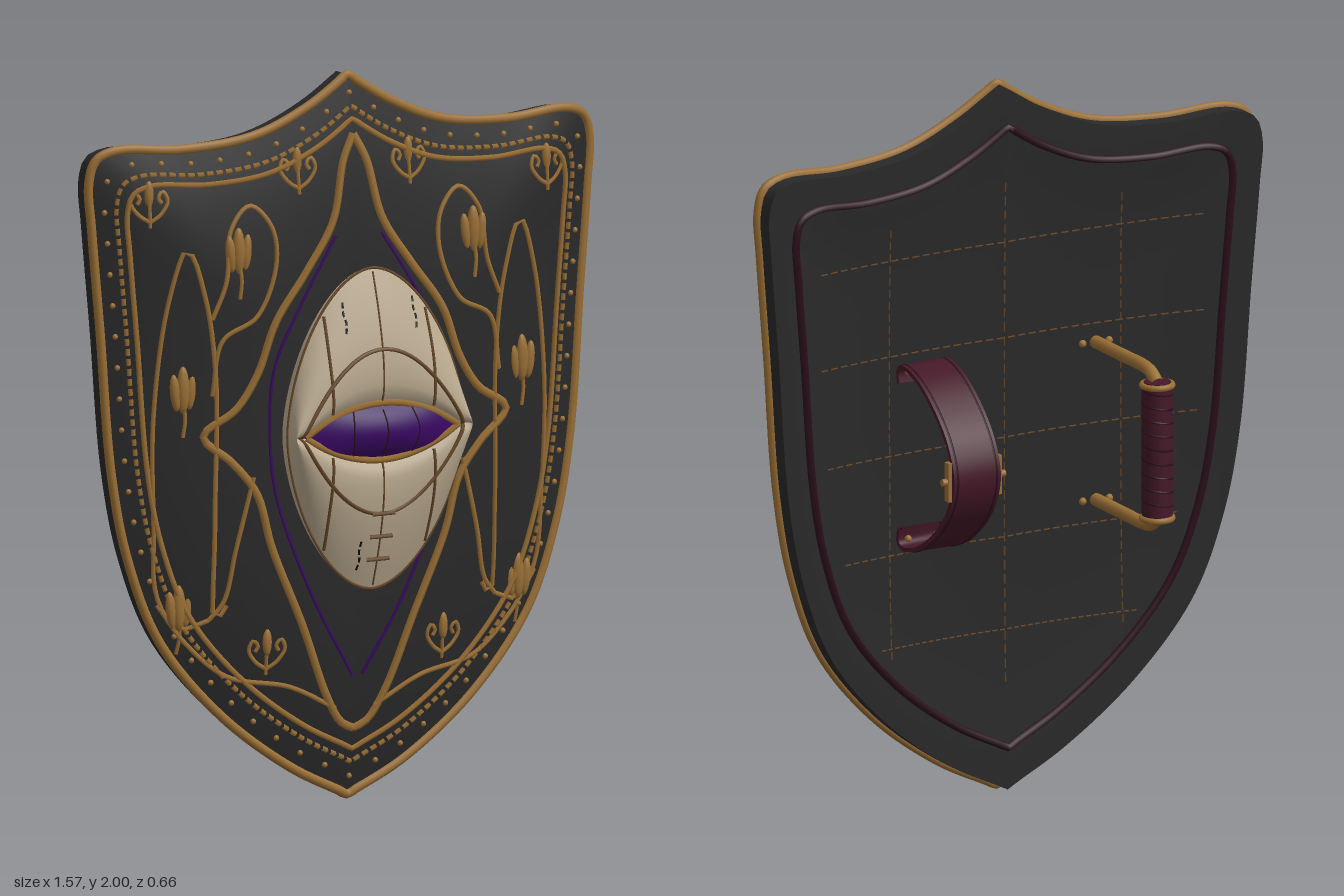
import * as THREE from 'three';
import { mergeGeometries } from 'three/addons/utils/BufferGeometryUtils.js';

const V3 = (x, y, z = 0) => new THREE.Vector3(x, y, z);
const mat = (name, color, side = THREE.FrontSide) => {
  const m = new THREE.MeshStandardMaterial({ color, side });
  m.name = name;
  return m;
};

// Shield outline: right half from top peak to bottom point, then mirrored
const half = new THREE.CatmullRomCurve3([
  [0, 1.987], [0.13, 1.907], [0.29, 1.843], [0.5, 1.822], [0.69, 1.831], [0.748, 1.808], [0.768, 1.745], [0.76, 1.62],
  [0.736, 1.34], [0.703, 0.94], [0.655, 0.7], [0.565, 0.475], [0.39, 0.265], [0.18, 0.105], [0, 0.013],
].map(p => V3(...p)), false, 'centripetal').getSpacedPoints(100);
const outline = [...half, ...half.slice(1, -1).reverse().map(p => V3(-p.x, p.y))];
const CY = 1.05;

// Radial fraction of a point: 0 at the centre, 1 on the outline
function frac(x, y) {
  const ax = Math.abs(x), dy = y - CY;
  for (let i = 0; i < half.length - 1; i++) {
    const a = half[i], b = half[i + 1], ay = a.y - CY, by = b.y - CY;
    const c1 = ax * ay - dy * a.x, c2 = ax * by - dy * b.x;
    if (c1 >= -1e-9 && c2 <= 1e-9 && c1 - c2 > 1e-12) {
      const t = c1 / (c1 - c2);
      return Math.hypot(ax, dy) / Math.hypot(a.x + (b.x - a.x) * t, ay + (by - ay) * t);
    }
  }
  return 0;
}
const rimZ = x => 0.107 - 0.055 * (x / 0.77) ** 2 - 0.01 * Math.exp(-Math.abs(x) / 0.09);
const frontAt = (x, s) => rimZ(x) + 0.066 * (1 - s ** 3.6);
const backAt = (x, s) => rimZ(x) - 0.06 + 0.018 * (1 - Math.min(1, s / 0.88) ** 5);
const frontZ = (x, y) => frontAt(x, frac(x, y));
const backZ = (x, y) => backAt(x, frac(x, y));

// Eye: lids between an almond slit and a pointed oval edge
const EY = 1.04, EW = 0.27, SW = 0.235;
const edgeH = x => 0.44 * Math.max(0, 1 - Math.abs(x / EW) ** 1.8) ** 0.6;
const slitH = x => 0.078 * Math.max(0, 1 - (x / SW) ** 2);
const lidAt = (x, v) => 0.24 + 0.05 * (1 - v * v) + 0.022 * Math.sin(Math.PI * Math.sqrt(v)) + 0.02 * (x / EW) ** 2 * v;
function lidZ(x, y) {
  const s = slitH(x);
  return lidAt(x, THREE.MathUtils.clamp((Math.abs(y - EY) - s) / Math.max(0.001, edgeH(x) - s), 0, 1));
}

// Quad sheet from a function of two whole-number steps
function sheet(nu, nv, fn, flip = false) {
  const pos = [], idx = [], row = nu + 1;
  for (let j = 0; j <= nv; j++) for (let i = 0; i <= nu; i++) pos.push(...fn(i, j));
  for (let j = 0; j < nv; j++) for (let i = 0; i < nu; i++) {
    const a = j * row + i, b = a + 1, c = a + row, d = c + 1;
    idx.push(...(flip ? [a, c, b, b, c, d] : [a, b, c, b, d, c]));
  }
  const g = new THREE.BufferGeometry();
  g.setAttribute('position', new THREE.Float32BufferAttribute(pos, 3));
  g.setIndex(idx);
  g.computeVertexNormals();
  return g;
}
const tube = (pts, r, n, closed = false, sides = 6) =>
  new THREE.TubeGeometry(new THREE.CatmullRomCurve3(pts, closed, 'centripetal'), n, r, sides, closed);

// Tube laid on a surface through 2D points; dashes > 0 breaks it into stitches
function drape(pts, r, zf, { n = 48, dashes = 0, closed = false, lift = 0 } = {}) {
  const p = new THREE.CatmullRomCurve3(pts.map(q => V3(...q)), closed, 'centripetal').getSpacedPoints(dashes ? dashes * 3 : n);
  p.forEach(q => { q.z = zf(q.x, q.y) + lift; });
  if (!dashes) return tube(closed ? p.slice(0, -1) : p, r, n, closed, 5);
  return mergeGeometries(Array.from({ length: dashes }, (_, k) => tube([p[3 * k], p[3 * k + 1], p[3 * k + 2]], r, 2, false, 4)));
}
const both = (pts, r, zf, o) => [drape(pts, r, zf, o), drape(pts.map(([x, y]) => [-x, y]), r, zf, o)];
const ring = s => outline.map(p => [p.x * s, CY + (p.y - CY) * s]);
const ball = (x, y, z, sx, sy, sz, rot = 0) =>
  new THREE.SphereGeometry(1, 10, 8).scale(sx, sy, sz).rotateZ(rot).translate(x, y, z);

export function createModel() {
  const M = {
    dark: mat('charcoal', 0x292929), gold: mat('old gold', 0x9a6f35), bone: mat('bone', 0xbbab90, THREE.DoubleSide),
    seam: mat('brown seam', 0x69492a), violet: mat('violet', 0x3b0764), leather: mat('wine leather', 0x451828, THREE.DoubleSide),
    trim: mat('dark wine trim', 0x2c0f1c), black: mat('black crack', 0x14110f),
  };
  const root = new THREE.Group();
  const add = (name, geos, m) => {
    const mesh = new THREE.Mesh(Array.isArray(geos) ? mergeGeometries(geos) : geos, m);
    mesh.name = name;
    root.add(mesh);
  };

  // Shield shell: domed front, edge wall, slightly hollow back
  const N = outline.length, at = i => outline[i % N];
  const shell = (s, i, zf) => [at(i).x * s, CY + (at(i).y - CY) * s, zf(at(i).x * s, s)];
  add('shieldFront', sheet(N, 16, (i, j) => shell(j / 16, i, frontAt)), M.dark);
  add('shieldEdge', sheet(N, 1, (i, j) => shell(1, i, j ? backAt : frontAt)), M.dark);
  add('shieldBack', sheet(N, 20, (i, j) => shell(1 - j / 20, i, backAt)), M.dark);

  // Metal rim, corded borders and rivets
  add('rim', tube(outline.map(p => V3(p.x, p.y, rimZ(p.x))), 0.0135, 400, true, 8), M.gold);
  add('innerBorders', [
    drape(ring(0.91), 0.007, frontZ, { closed: true, dashes: 190, lift: 0.003 }),
    drape(ring(0.875), 0.008, frontZ, { closed: true, n: 300, lift: 0.003 }),
  ], M.gold);
  const rivets = new THREE.CatmullRomCurve3(ring(0.95).map(q => V3(...q)), true).getSpacedPoints(64);
  add('rivets', rivets.map(p => ball(p.x, p.y, frontZ(p.x, p.y) + 0.002, 0.008, 0.008, 0.007)), M.gold);

  // Cusped frame round the eye, with a violet inlay
  const frame = [[0, 1.83], [0.035, 1.76], [0.075, 1.6], [0.16, 1.47], [0.255, 1.34], [0.31, 1.2], [0.37, 1.11], [0.465, 1.04],
    [0.38, 0.96], [0.31, 0.87], [0.265, 0.72], [0.17, 0.5], [0.09, 0.3], [0.04, 0.22], [0, 0.2]];
  add('eyeFrame', both(frame, 0.012, frontZ, { n: 90 }), M.gold);
  add('violetInlay', both([[0.07, 1.56], [0.17, 1.4], [0.26, 1.22], [0.275, 1.04], [0.255, 0.86], [0.14, 0.57], [0.015, 0.35]],
    0.0045, frontZ, { lift: 0.006 }), M.violet);

  // Lancet tracery on the field
  const lancets = [
    [[0.39, 0.57], [0.42, 0.53], [0.43, 0.8], [0.43, 1.2], [0.46, 1.42], [0.51, 1.555], [0.56, 1.42], [0.6, 1.1], [0.595, 0.8], [0.58, 0.6], [0.52, 0.51], [0.44, 0.53]],
    [[0.44, 1.15], [0.41, 1.3], [0.31, 1.36], [0.25, 1.5], [0.26, 1.6], [0.32, 1.66], [0.38, 1.6], [0.4, 1.46], [0.44, 1.36]],
    [[0.58, 0.58], [0.5, 0.47], [0.38, 0.37], [0.2, 0.33], [0.06, 0.26]],
    [[0.32, 0.92], [0.37, 0.72], [0.4, 0.58], [0.44, 0.53]],
  ];
  add('tracery', lancets.flatMap(l => both(l, 0.007, frontZ, { n: 70, lift: 0.002 })), M.gold);

  // Flower buds and small scrolled sprigs
  const buds = [], sprigs = [];
  for (const sx of [-1, 1]) {
    for (const [x, y] of [[0.36, 1.54], [0.52, 1.17], [0.52, 0.57]]) {
      const X = x * sx, z = frontZ(X, y);
      buds.push(ball(X, y, z, 0.019, 0.066, 0.015));
      for (const k of [-1, 1]) buds.push(ball(X + k * 0.024, y - 0.006, z, 0.015, 0.052, 0.012, -k * 0.1));
      buds.push(drape([[X, y - 0.03], [X + 0.006, y - 0.08], [X, y - 0.13]], 0.006, frontZ, { n: 8 }));
    }
    for (const [x, y] of [[0.61, 1.69], [0.17, 1.75], [0.27, 0.44]]) {
      const X = x * sx;
      sprigs.push(ball(X, y + 0.02, frontZ(X, y + 0.02), 0.014, 0.038, 0.01));
      sprigs.push(drape([[X, y + 0.04], [X, y - 0.07]], 0.006, frontZ, { n: 6 }));
      for (const k of [-1, 1]) sprigs.push(drape([[X, y - 0.055], [X + k * 0.03, y - 0.035], [X + k * 0.052, y], [X + k * 0.04, y + 0.026],
        [X + k * 0.026, y + 0.01], [X + k * 0.034, y - 0.005]], 0.006, frontZ, { n: 18 }));
    }
  }
  add('buds', buds, M.gold);
  add('sprigs', sprigs, M.gold);

  // Bone eyelids: curved faces, side wall and flat back
  const ux = i => EW * Math.sin((i / 40 - 0.5) * Math.PI);
  for (const [name, k] of [['upperLid', 1], ['lowerLid', -1]]) {
    add(name, sheet(40, 14, (i, j) => {
      const x = ux(i), v = j / 14, h = edgeH(x), s = Math.min(slitH(x), h);
      return [x, EY + k * (s + (h - s) * v), lidAt(x, v)];
    }, k < 0), M.bone);
    add(name + 'Side', sheet(40, 1, (i, j) => [ux(i), EY + k * edgeH(ux(i)), j ? 0.23 : lidAt(ux(i), 1)], k < 0), M.bone);
    add(name + 'Edge', tube(Array.from({ length: 41 }, (_, i) => V3(ux(i), EY + k * edgeH(ux(i)), lidAt(ux(i), 1))), 0.004, 80, false, 5), M.seam);
  }
  add('eyeBack', sheet(40, 1, (i, j) => [ux(i), EY + (j ? -1 : 1) * edgeH(ux(i)), 0.23]), M.bone);

  // Eyeball filling the slit, with fine pupil lines
  const eyeZ = (x, y) => 0.285 + 0.042 * Math.max(0, 1 - (x / SW) ** 2) * (1 - ((y - EY) / 0.08) ** 2);
  add('eyeball', sheet(32, 10, (i, j) => {
    const x = SW * (i / 16 - 1), y = EY + slitH(x) * (j / 5 - 1);
    return [x, y, eyeZ(x, y)];
  }), M.violet);
  add('pupil', [-0.09, 0, 0.09].map(x => drape([[x, EY - 0.06], [x * 1.12 + 0.004, EY], [x, EY + 0.06]], 0.0025, eyeZ, { n: 12 })), M.trim);

  // Lid rims, seams and cracks
  const arc = (h, w, k) => Array.from({ length: 13 }, (_, i) => {
    const x = w * (i / 6 - 1);
    return [x, EY + k * h * (1 - (x / w) ** 2)];
  });
  add('lidRims', [1, -1].map(k => drape(arc(0.078, SW, k), 0.0095, lidZ, { lift: 0.006 })), M.gold);
  const seams = [];
  for (const k of [1, -1]) {
    seams.push(drape(arc(0.225, 0.25, k), 0.006, lidZ));
    for (const x of [-0.155, 0.155]) seams.push(drape([[x, EY + k * 0.06], [x * 1.02, EY + k * 0.2], [x, EY + k * 0.32]], 0.005, lidZ));
    seams.push(drape([[0, EY + k * 0.085], [0, EY + k * 0.25], [0, EY + k * 0.43]], 0.003, lidZ));
  }
  for (const y of [0.815, 0.75, 0.685]) seams.push(drape([[-0.035, y], [0.035, y]], 0.006, lidZ, { n: 6, lift: 0.003 }));
  add('lidSeams', seams, M.seam);
  add('lidCracks', [[-0.1, 1.395], [0.115, 1.395], [-0.055, 0.74]].map(([x, y]) =>
    drape([[x, y], [x - 0.003, y - 0.03], [x + 0.002, y - 0.055], [x - 0.004, y - 0.09]], 0.0035, lidZ, { dashes: 4 })), M.black);

  // Back: wine trim and stitched quilting
  add('backTrim', drape(ring(0.885), 0.011, backZ, { closed: true, n: 300, lift: -0.004 }), M.trim);
  const quilt = [-0.36, 0, 0.36].map(x => drape([[x, x ? 1.64 : 1.72], [x, x ? 0.42 : 0.3]], 0.0025, backZ, { dashes: 36 }));
  for (const [y, w] of [[1.55, 0.6], [1.28, 0.6], [1.0, 0.58], [0.72, 0.52], [0.46, 0.4]])
    quilt.push(drape([[-w, y], [w, y]], 0.0025, backZ, { dashes: 36 }));
  add('backStitching', quilt, M.seam);

  // Hand grip: bent bar, wrapped cylinder and end collars
  const HX = -0.285, GZ = -0.277, posts = [], collars = [], caps = [], studs = [];
  for (const k of [1, -1]) {
    const y = 1.005 + k * 0.222, end = 1.005 + k * 0.187;
    posts.push(tube([V3(HX, y, 0.07), V3(HX, y, -0.1), V3(HX, y, -0.2), V3(HX, y - k * 0.006, -0.24), V3(HX, y - k * 0.03, GZ)], 0.018, 30, false, 12));
    collars.push(new THREE.TorusGeometry(0.041, 0.009, 8, 24).rotateX(Math.PI / 2).translate(HX, end, GZ));
    caps.push(new THREE.CylinderGeometry(0.037, 0.037, 0.02, 20).translate(HX, end, GZ));
    for (const dx of [-0.04, 0.04]) studs.push(ball(HX + dx, y, backZ(HX + dx, y), 0.011, 0.011, 0.011));
    for (const dx of [-0.045, 0.045]) studs.push(ball(0.272 + dx, 1.005 + k * 0.235, 0.025, 0.01, 0.01, 0.01));
  }
  add('gripPosts', posts, M.gold);
  add('gripCollars', collars, M.gold);
  add('mountingStuds', studs, M.gold);
  add('grip', [...caps, new THREE.CylinderGeometry(0.042, 0.042, 0.37, 24).translate(HX, 1.005, GZ)], M.leather);
  add('gripWrap', tube(Array.from({ length: 109 }, (_, i) => {
    const a = i * Math.PI / 6;
    return V3(HX + 0.04 * Math.cos(a), 0.83 + 0.35 * i / 108, GZ + 0.04 * Math.sin(a));
  }), 0.004, 216, false, 5), M.trim);

  // Arm strap: arched band with turned-in ends, edging and buckle
  const path = new THREE.CatmullRomCurve3([[0.03, 0.8], [0.035, 0.765], [0.015, 0.75], [-0.06, 0.765], [-0.15, 0.82], [-0.235, 0.91], [-0.268, 1.005],
    [-0.235, 1.1], [-0.15, 1.19], [-0.06, 1.245], [0.015, 1.26], [0.035, 1.245], [0.03, 1.21]].map(([z, y]) => V3(0, y, z))).getSpacedPoints(60);
  const bandAt = (i, x, off) => {
    const t = path[Math.min(i + 1, 60)].clone().sub(path[Math.max(i - 1, 0)]).normalize();
    return [x, path[i].y - t.z * off, path[i].z + t.y * off];
  };
  const section = [[0.2, -0.006], [0.345, -0.006], [0.345, 0.006], [0.2, 0.006], [0.2, -0.006]];
  add('armStrap', section.slice(1).map((b, k) => sheet(60, 1, (i, j) => bandAt(i, ...(j ? b : section[k])))), M.leather);
  add('strapEdging', [0.212, 0.333].map(x => tube(path.map((_, i) => V3(...bandAt(i, x, -0.004))), 0.004, 90, false, 5)), M.trim);
  add('buckle', [0.195, 0.35].flatMap((x, k) => [
    new THREE.BoxGeometry(0.012, 0.11, 0.02).translate(x, 1.005, -0.25),
    new THREE.CylinderGeometry(0.01, 0.01, 0.02, 10).rotateZ(Math.PI / 2).translate(x + (k ? 0.01 : -0.01), 1.005, -0.25),
  ]), M.gold);

  return root;
}
